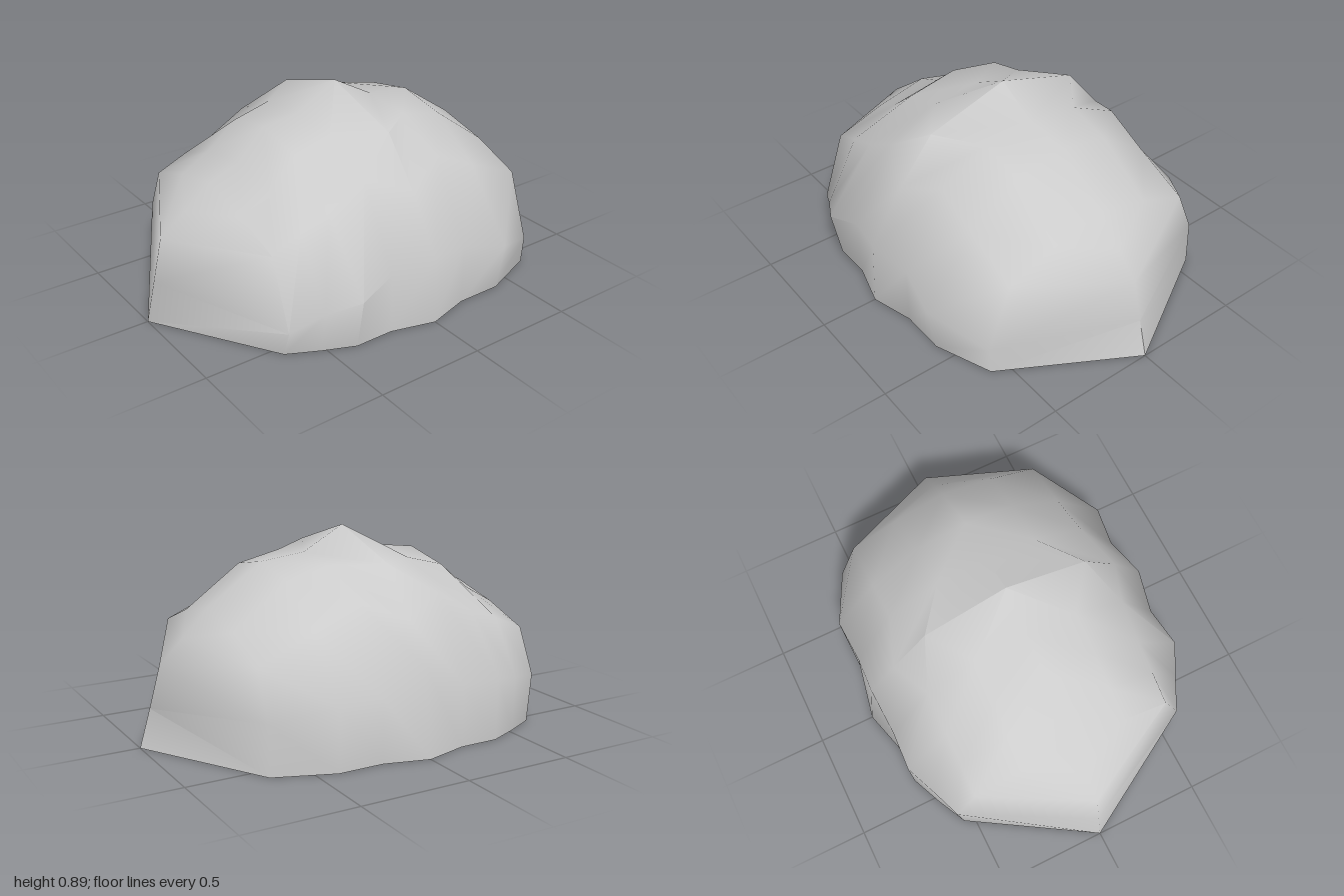
import * as THREE from 'three';
import { toCreasedNormals } from 'three/addons/utils/BufferGeometryUtils.js';

// Half cross-sections from base to ridge: z, five [x, y] points, then the left flank point.
const SECTIONS = [
  [-0.67, [[0.58, 0], [0.59, 0.13], [0.48, 0.43], [0.25, 0.52], [0, 0.58]], [0.57, 0.22]],
  [-0.41, [[0.68, 0], [0.72, 0.23], [0.48, 0.54], [0.24, 0.71], [0, 0.757]], [0.69, 0.28]],
  [-0.2, [[0.68, 0], [0.68, 0.28], [0.48, 0.64], [0.24, 0.757], [0, 0.78]], [0.68, 0.28]],
  [0, [[0.735, 0], [0.72, 0.31], [0.56, 0.56], [0.39, 0.77], [0, 0.89]], [0.69, 0.39]],
  [0.2, [[0.68, 0], [0.68, 0.28], [0.48, 0.64], [0.24, 0.757], [0, 0.78]], [0.68, 0.28]],
  [0.38, [[0.68, 0], [0.72, 0.23], [0.48, 0.54], [0.24, 0.71], [0, 0.757]], [0.69, 0.28]],
  [0.52, [[0.62, 0], [0.65, 0.19], [0.48, 0.49], [0.25, 0.59], [0, 0.63]], [0.63, 0.25]],
  [0.66, [[0.55, 0], [0.59, 0.12], [0.48, 0.43], [0.25, 0.51], [0, 0.57]], [0.575, 0.23]],
];

// Pointed ends: a curved vertical edge on the centre line, as [y, z].
const FRONT_EDGE = [[0, 1], [0.18, 0.957], [0.38, 0.91], [0.47, 0.79], [0.57, 0.66]];
const BACK_EDGE = [[0, -1], [0.17, -0.95], [0.35, -0.9], [0.46, -0.79], [0.58, -0.67]];

// Mirrors a half row (right side, base to ridge) into a full row from left to right.
const fullRow = (half, left = half) => [
  ...left.map(([x, y, z]) => [-x, y, z]),
  ...half.slice(0, -1).reverse(),
];

function buildRows() {
  const edge = (pts) => fullRow(pts.map(([y, z]) => [0, y, z]));
  const rings = SECTIONS.map(([z, pts, flank]) => {
    const right = pts.map(([x, y]) => [x, y, z]);
    const left = right.slice();
    left[1] = [...flank, z];
    return fullRow(right, left);
  });
  return [edge(BACK_EDGE), ...rings, edge(FRONT_EDGE)];
}

function meshFrom(name, points, index, material, crease) {
  const geometry = new THREE.BufferGeometry();
  geometry.setAttribute('position', new THREE.Float32BufferAttribute(points.flat(), 3));
  geometry.setIndex(index);
  const mesh = new THREE.Mesh(toCreasedNormals(geometry, crease), material);
  mesh.name = name;
  return mesh;
}

export function createModel() {
  const group = new THREE.Group();
  group.name = 'boulder';
  const material = new THREE.MeshStandardMaterial({ color: 0xcccccc });
  const rows = buildRows();
  const n = rows[0].length;

  // Domed rock surface lofted from back to front
  const shell = [];
  for (let i = 0; i < rows.length - 1; i++) {
    for (let j = 0; j < n - 1; j++) {
      const a = i * n + j, b = a + 1, c = a + n, d = c + 1;
      // mirrored diagonals keep both halves alike
      if (j < (n - 1) / 2) shell.push(a, c, b, b, c, d);
      else shell.push(a, c, d, a, d, b);
    }
  }
  group.add(meshFrom('rockSurface', rows.flat(), shell, material, 0.95));

  // Flat underside
  const base = [];
  for (let i = 0; i < rows.length - 1; i++) {
    const l = i * 2, r = l + 1;
    if (i > 0) base.push(l, r, l + 2);
    if (i < rows.length - 2) base.push(r, r + 2, l + 2);
  }
  const rim = rows.flatMap((row) => [row[0], row[n - 1]]);
  group.add(meshFrom('underside', rim, base, material, 0.1));

  return group;
}
